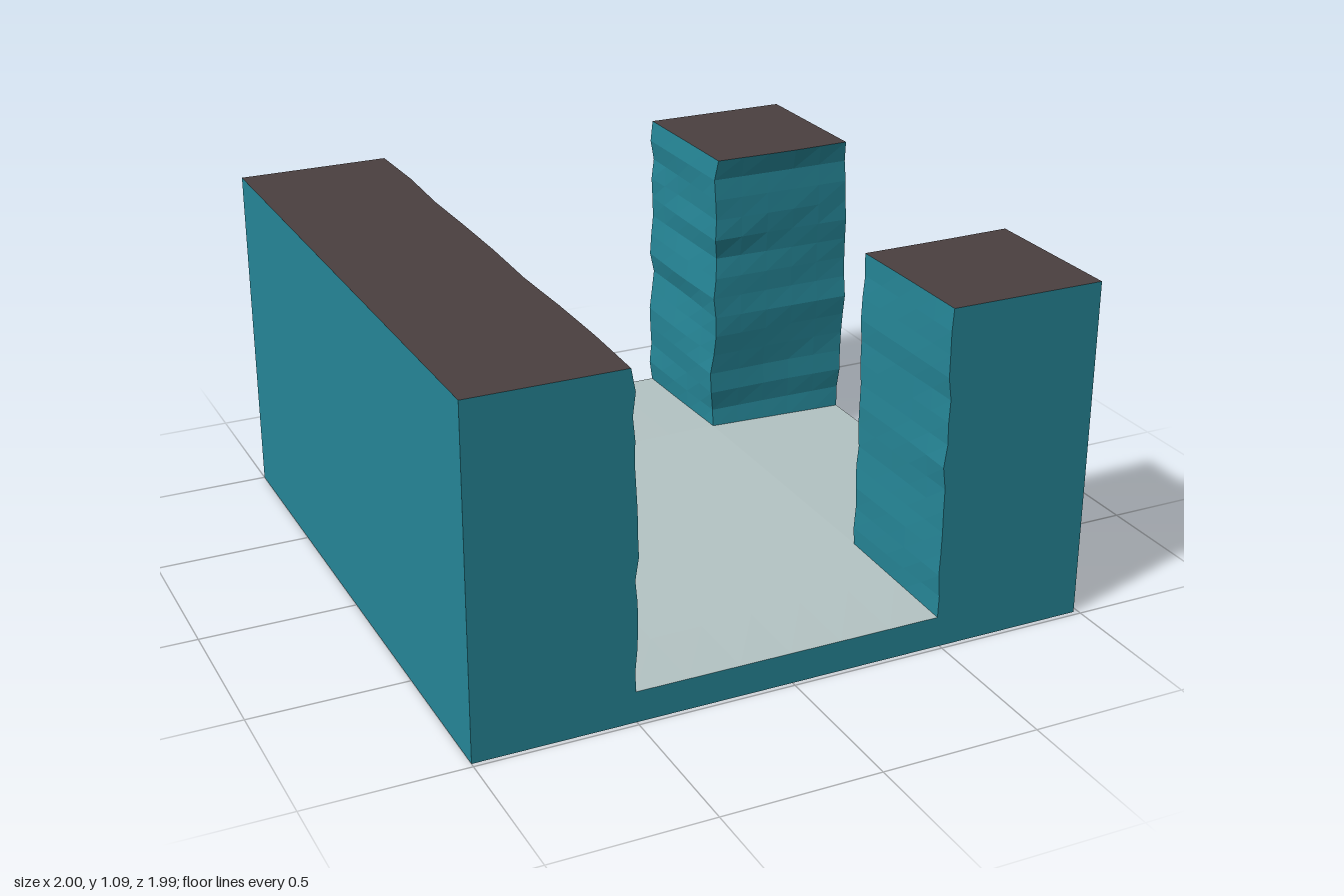
import * as THREE from 'three';

const LO = -1, HI = 0.985;          // footprint limits in x and z
const FLOOR = 0.1, TOP = 1.09;      // heights
const ROWS = 14;

const teal = new THREE.MeshStandardMaterial({ color: 0x268798 });
teal.name = 'teal stone';
const brown = new THREE.MeshStandardMaterial({ color: 0x4b4040 });
brown.name = 'dark brown wall top';
const grey = new THREE.MeshStandardMaterial({ color: 0xb4c4c4 });
grey.name = 'pale grey floor';

// Repeatable value in -1..1 for a pair of integers
function hash(a, b) {
  const s = Math.sin(a * 127.1 + b * 311.7) * 43758.5453;
  return (s - Math.floor(s)) * 2 - 1;
}

// Rough rock: long horizontal ledges broken up by smaller chips
function rock(along, y, seed) {
  const row = Math.round((y - FLOOR) / (TOP - FLOOR) * ROWS);
  if (row === 0) return 0;
  const u = (along + 1) * 4, i = Math.floor(u), f = u - i;
  const ledge = hash(row, seed);
  const chipA = hash(row * 3 + i, seed + 9), chipB = hash(row * 3 + i + 1, seed + 9);
  return 0.55 * ledge + 0.45 * (chipA * (1 - f) + chipB * f);
}

// Box between two corners; move(p) shifts its vertices, the top face gets its own colour
function block(name, min, max, segs, topMaterial, move) {
  const size = max.map((v, i) => v - min[i]);
  let geo = new THREE.BoxGeometry(...size, ...segs);
  geo.translate(...min.map((v, i) => (v + max[i]) / 2));
  const pos = geo.attributes.position;
  const p = new THREE.Vector3();
  for (let i = 0; i < pos.count; i++) {
    move(p.fromBufferAttribute(pos, i));
    pos.setXYZ(i, p.x, p.y, p.z);
  }
  geo = geo.toNonIndexed();
  geo.computeVertexNormals();       // faceted normals
  const mesh = new THREE.Mesh(geo, [teal, teal, topMaterial, teal, teal, teal]);
  mesh.name = name;
  return mesh;
}

const near = (a, b) => Math.abs(a - b) < 1e-4;

export function createModel() {
  const group = new THREE.Group();
  group.name = 'wallTile';

  // Base slab with a floor that swells very slightly between the posts
  group.add(block('baseFloor', [LO, 0, LO], [HI, FLOOR, HI], [12, 1, 8], grey, (p) => {
    if (p.y < 0.05) return;
    const ramp = p.x < 0.49 ? (p.x + 0.5) / 0.99 : (HI - p.x) / 0.495;
    const fade = Math.min(1, (HI - Math.abs(p.z)) / 0.5);
    p.y += 0.014 * Math.max(0, ramp) * Math.max(0, fade);
  }));

  // Long wall, rough on its inner side
  const wallX = -0.503;
  group.add(block('longWall', [LO, FLOOR, LO], [wallX, TOP, HI], [1, ROWS, 16], brown, (p) => {
    if (near(p.x, wallX)) p.x += 0.014 * rock(p.z, p.y, 1);
  }));

  // Corner posts, rough on the two sides that face the passages
  const postX = 0.488;
  const posts = [
    { name: 'backPost', z0: LO, z1: -0.497, inner: -0.497, dir: 1, ampX: 0.015, ampZ: 0.013, seed: 4 },
    { name: 'frontPost', z0: 0.49, z1: HI, inner: 0.49, dir: -1, ampX: 0.008, ampZ: 0.008, seed: 7 },
  ];
  for (const { name, z0, z1, inner, dir, ampX, ampZ, seed } of posts) {
    group.add(block(name, [postX, FLOOR, z0], [HI, TOP, z1], [5, ROWS, 5], brown, (p) => {
      const { x, y, z } = p;
      if (near(x, postX)) p.x += ampX * rock(z, y, seed) - 0.003 * (y > FLOOR + 0.01);
      if (near(z, inner)) {
        p.z += dir * ampZ * rock(x, y, seed + 20);
        // outer edge of the back post bulges a little past the base
        if (near(x, HI) && dir > 0) p.x += 0.014 * Math.sin(Math.PI * (y - FLOOR) / (TOP - FLOOR));
      }
    }));
  }
  return group;
}
